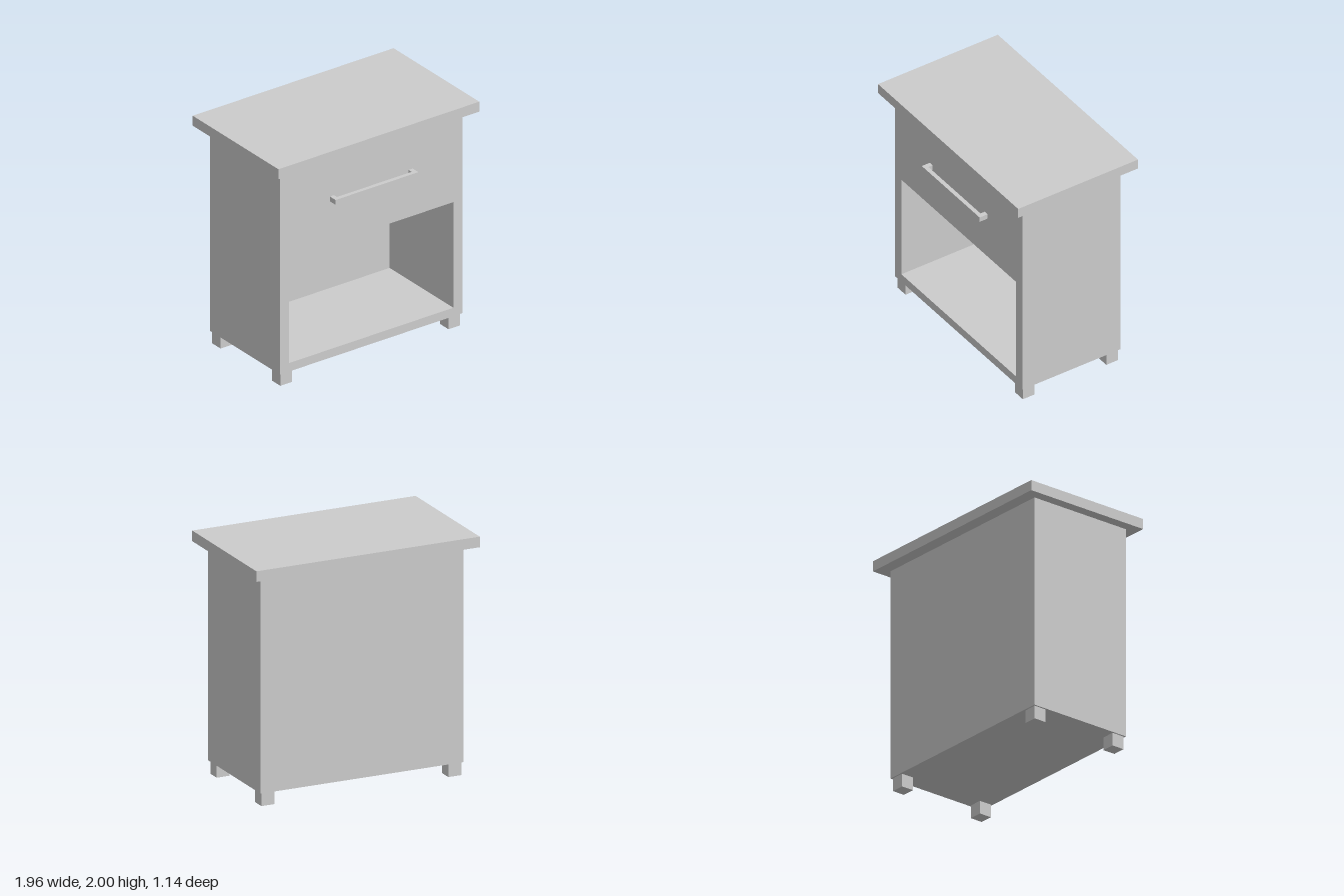
import * as THREE from 'three';

const material = new THREE.MeshStandardMaterial({ color: 0xcccccc });

// Box given by its lower and upper limits on each axis
function box(name, [x0, x1], [y0, y1], [z0, z1]) {
  const mesh = new THREE.Mesh(new THREE.BoxGeometry(x1 - x0, y1 - y0, z1 - z0), material);
  mesh.position.set((x0 + x1) / 2, (y0 + y1) / 2, (z0 + z1) / 2);
  mesh.name = name;
  return mesh;
}

function trace(path, w, y0, y1) {
  path.moveTo(-w, y0);
  path.lineTo(w, y0);
  path.lineTo(w, y1);
  path.lineTo(-w, y1);
  path.closePath();
  return path;
}

export function createModel() {
  const group = new THREE.Group();
  group.name = 'nightstand';

  const halfWidth = 0.893, bottom = 0.11, top = 1.912;
  const back = -0.465, inner = -0.38, front = 0.47;

  // Cabinet with the open shelf compartment cut into its lower part
  const outline = trace(new THREE.Shape(), halfWidth, bottom, top);
  outline.holes.push(trace(new THREE.Path(), 0.803, 0.185, 1.122));
  const cabinet = new THREE.Mesh(
    new THREE.ExtrudeGeometry(outline, { depth: front - inner, bevelEnabled: false }), material);
  cabinet.position.z = inner;
  cabinet.name = 'cabinet';
  group.add(cabinet);

  // Back panel closing the compartment
  group.add(box('backPanel', [-halfWidth, halfWidth], [bottom, top], [back, inner]));

  // Overhanging table top
  group.add(box('tableTop', [-0.982, 0.982], [top, 2], [-0.571, 0.571]));

  // Drawer handle: a bar on two posts
  const handle = new THREE.Group();
  handle.name = 'drawerHandle';
  handle.add(box('handleBar', [-0.405, 0.405], [1.498, 1.541], [0.51, 0.546]));
  for (const x of [-0.385, 0.385]) {
    handle.add(box('handlePost', [x - 0.02, x + 0.02], [1.498, 1.541], [front, 0.51]));
  }
  group.add(handle);

  // Four square feet
  for (const x of [-0.822, 0.822]) {
    for (const z of [-0.395, 0.4]) {
      group.add(box('foot', [x - 0.057, x + 0.057], [0, bottom], [z - 0.056, z + 0.056]));
    }
  }

  return group;
}
